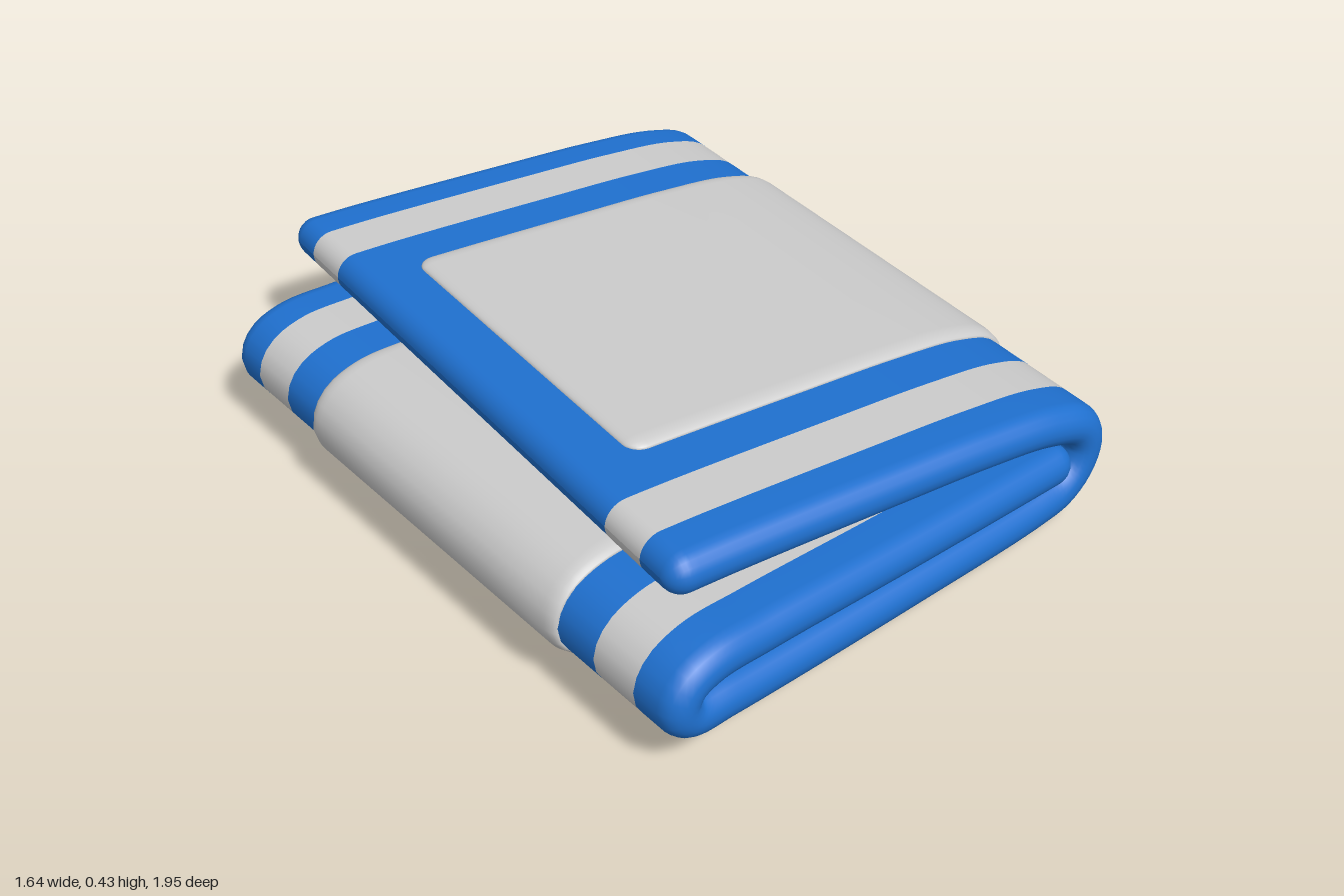
import * as THREE from 'three';

const BLUE = 0x1f70cf;
const GREY = 0xcccccc;
const SHEAR = 0.083; // skew of the right fold line and the top layer

// Folded centre line: tucked layer, left fold, bottom layer, right fold, top layer
const path = new THREE.CatmullRomCurve3([
  [0.55, 0.176], [0.4, 0.187], [-0.05, 0.224], [-0.5, 0.265], [-0.66, 0.273],
  [-0.73, 0.248], [-0.75, 0.205], [-0.72, 0.16], [-0.6, 0.144], [0, 0.1],
  [0.5, 0.075], [0.61, 0.086], [0.67, 0.13], [0.692, 0.195], [0.665, 0.25],
  [0.56, 0.29], [0.35, 0.317], [0.07, 0.337], [-0.4, 0.366], [-0.575, 0.372],
].map(([x, y]) => new THREE.Vector3(x, y, 0)));
path.arcLengthDivisions = 2000;
const LENGTH = path.getLength();

// Arc positions of the leftmost and rightmost points of the folds
let leftS = 0, rightS = 0, leftX = 9, rightX = -9;
for (let i = 400; i <= 1600; i++) {
  const x = path.getPointAt(i / 2000).x, s = (i / 2000) * LENGTH;
  if (x < leftX) { leftX = x; leftS = s; }
  if (x > rightX) { rightX = x; rightS = s; }
}

// Cloth coordinates (s along, w across, n outward) to model space
function place(s, w, n) {
  const u = s / LENGTH;
  const p = path.getPointAt(u), t = path.getTangentAt(u);
  const k = THREE.MathUtils.clamp((s - leftS) / (rightS - leftS), 0, 1);
  const foldZ = 0.1 - 0.05 * (rightX - leftX);
  const shift = s < rightS ? 0.1 - 0.05 * (p.x - leftX) : foldZ - 0.085 * (rightX - p.x);
  return [p.x + n * t.y - SHEAR * k * w, p.y - n * t.x, w + shift];
}

// Pillow-edged strip following the fold, split into meshes by the part that
// partOf(w) names, with normals shared across the splits
function strip({ s0, s1, W, H, r, lift, breaks, partOf }) {
  // cross-section: flat sides at fixed w, rounded edges as cos / sin offsets
  const ring = [];
  const arc = (sign) => {
    for (let i = 0; i <= 10; i++) {
      const a = -Math.PI / 2 + (Math.PI * i) / 10;
      ring.push({ w: sign * (W - r), c: r * Math.cos(a) * sign, n: H * Math.sin(a) * sign });
    }
  };
  arc(1);
  breaks.forEach((w) => ring.push({ w, c: 0, n: H }));
  arc(-1);
  [...breaks].reverse().forEach((w) => ring.push({ w, c: 0, n: -H }));

  // stations, closer together at both rounded ends
  const stations = [];
  for (let i = 0; i < 8; i++) stations.push(r * (1 - Math.cos((i / 8) * Math.PI / 2)));
  const ends = stations.map((d) => s1 - s0 - d).reverse();
  const N = 220;
  for (let i = 0; i <= N; i++) stations.push(r + ((s1 - s0 - 2 * r) * i) / N);
  stations.push(...ends);

  const pos = [];
  for (const s of stations) {
    const e = Math.min(1, Math.min(s, s1 - s0 - s) / r);
    const q = Math.sqrt(Math.max(0, 1 - (1 - e) ** 2));
    for (const v of ring) pos.push(...place(s0 + s, v.w + v.c * q, lift + v.n * q));
  }

  const m = ring.length, all = [], parts = {};
  for (let i = 0; i < stations.length - 1; i++) {
    for (let j = 0; j < m; j++) {
      const j2 = (j + 1) % m;
      const a = i * m + j, b = i * m + j2, c = a + m, d = b + m;
      const name = partOf((ring[j].w + ring[j2].w) / 2);
      (parts[name] ??= []).push(a, b, c, b, d, c);
      all.push(a, b, c, b, d, c);
    }
  }
  const base = new THREE.BufferGeometry();
  base.setAttribute('position', new THREE.Float32BufferAttribute(pos, 3));
  base.setIndex(all);
  base.computeVertexNormals();

  return Object.entries(parts).map(([name, index]) => {
    const geo = new THREE.BufferGeometry();
    geo.setAttribute('position', base.attributes.position);
    geo.setAttribute('normal', base.attributes.normal);
    geo.setIndex(index);
    const color = name === 'towelCloth' ? BLUE : GREY;
    const mesh = new THREE.Mesh(geo, new THREE.MeshStandardMaterial({ color }));
    mesh.name = name;
    return mesh;
  });
}

export function createModel() {
  const group = new THREE.Group();
  group.name = 'foldedTowel';

  // Cloth with a woven stripe near each side
  group.add(...strip({
    s0: 0, s1: LENGTH, W: 0.885, H: 0.055, r: 0.055, lift: 0,
    breaks: [0.755, 0.62, 0.3, 0, -0.3, -0.62, -0.755],
    partOf: (w) => (Math.abs(w) < 0.62 || Math.abs(w) > 0.755 ? 'towelCloth'
      : w > 0 ? 'frontStripe' : 'backStripe'),
  }));

  // Raised panel on the outer face
  group.add(...strip({
    s0: 0.16, s1: LENGTH - 0.16, W: 0.495, H: 0.016, r: 0.045, lift: 0.055,
    breaks: [0.25, 0, -0.25],
    partOf: () => 'centrePanel',
  }));
  return group;
}
